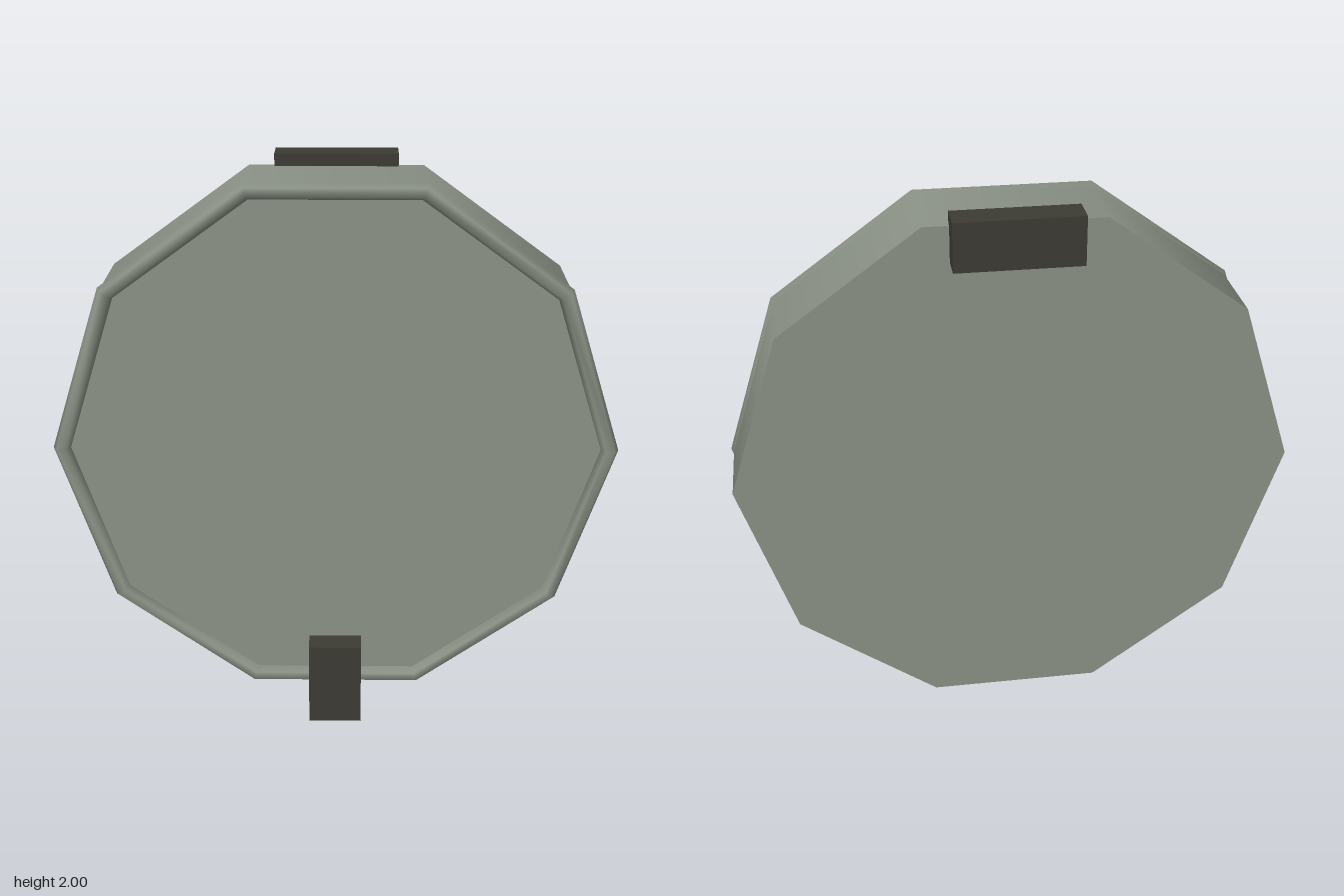
import * as THREE from 'three';

const SIDES = 10;
const CENTER_Y = 1.045;

export function createModel() {
  const model = new THREE.Group();
  model.name = 'roundPanel';

  const greyGreen = new THREE.MeshStandardMaterial({ color: 0x8b9286 });
  greyGreen.name = 'greyGreen';
  const darkOlive = new THREE.MeshStandardMaterial({ color: 0x3c3b34 });
  darkOlive.name = 'darkOlive';

  const add = (name, geometry, material, x, y, z) => {
    const mesh = new THREE.Mesh(geometry, material);
    mesh.name = name;
    mesh.position.set(x, y, z);
    model.add(mesh);
    return mesh;
  };

  // Ten-sided drum, corners pointing left and right
  const drum = new THREE.CylinderGeometry(0.96, 0.96, 0.31, SIDES, 1, false, Math.PI / 2);
  drum.rotateX(Math.PI / 2);
  add('body', drum, greyGreen, 0, CENTER_Y, 0);

  // Rounded bead around the front edge
  add('rim', new THREE.TorusGeometry(0.94, 0.03, 6, SIDES), greyGreen, 0, CENTER_Y, 0.155);

  // Hinge block at the top back and latch at the bottom front
  add('hinge', new THREE.BoxGeometry(0.42, 0.165, 0.107), darkOlive, 0, 1.9175, -0.1885);
  add('latch', new THREE.BoxGeometry(0.187, 0.307, 0.12), darkOlive, 0, 0.1535, 0.182);

  return model;
}
